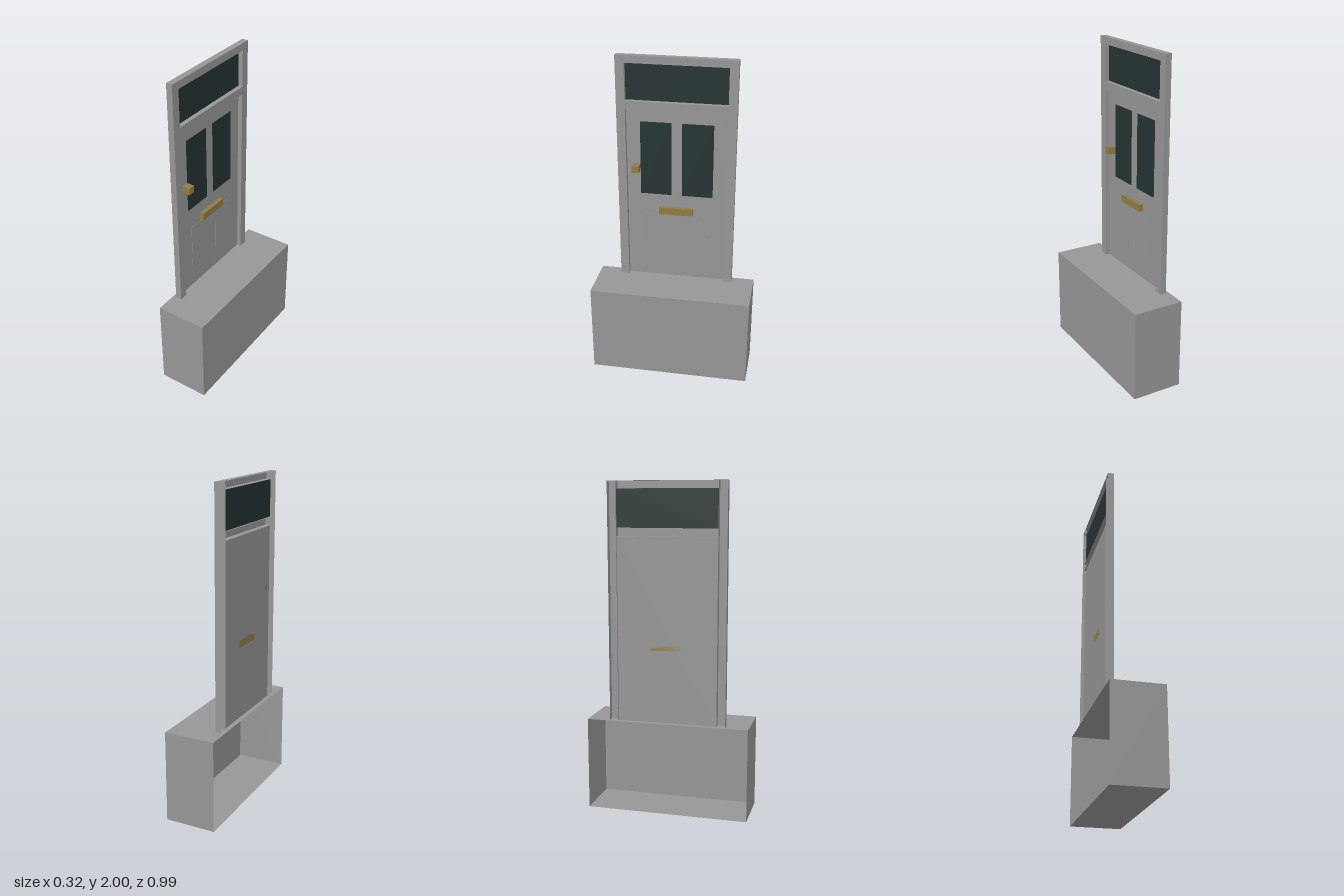
import * as THREE from 'three';

export function createModel() {
  const model = new THREE.Group();
  model.name = 'frontDoor';

  const stone = new THREE.MeshStandardMaterial({ color: 0x969696, side: THREE.DoubleSide });
  stone.name = 'grey';
  const glass = new THREE.MeshStandardMaterial({ color: 0x253232, side: THREE.DoubleSide });
  glass.name = 'darkGlass';
  const brass = new THREE.MeshStandardMaterial({ color: 0x907c45 });
  brass.name = 'brass';

  // Box given by its limits on each axis; openBack drops the -x face to leave a shell
  function box(name, material, [x0, x1], [y0, y1], [z0, z1], openBack = false) {
    const geometry = new THREE.BoxGeometry(x1 - x0, y1 - y0, z1 - z0);
    if (openBack) {
      const index = Array.from(geometry.index.array);
      index.splice(6, 6);
      geometry.setIndex(index);
      geometry.clearGroups();
    }
    const mesh = new THREE.Mesh(geometry, material);
    mesh.name = name;
    mesh.position.set((x0 + x1) / 2, (y0 + y1) / 2, (z0 + z1) / 2);
    model.add(mesh);
  }

  // Flat sheet facing +x
  function sheet(name, material, x, [y0, y1], [z0, z1]) {
    const geometry = new THREE.PlaneGeometry(z1 - z0, y1 - y0).rotateY(Math.PI / 2);
    const mesh = new THREE.Mesh(geometry, material);
    mesh.name = name;
    mesh.position.set(x, (y0 + y1) / 2, (z0 + z1) / 2);
    model.add(mesh);
  }

  const floor = 0.567;
  const frameX = [-0.138, -0.1];
  const doorX = -0.128;
  const half = 0.305;

  // Hollow step, open at the back
  box('step', stone, [-0.158, 0.158], [0, floor], [-0.496, 0.496], true);

  // Hollow frame: two posts, top rail and transom
  box('leftPost', stone, frameX, [floor, 2], [-0.358, -half], true);
  box('rightPost', stone, frameX, [floor, 2], [half, 0.358], true);
  box('topRail', stone, frameX, [1.955, 2], [-half, half], true);
  box('transom', stone, frameX, [1.68, 1.73], [-half, half], true);

  // Recessed door leaf and the window above it
  sheet('doorLeaf', stone, doorX, [floor, 1.68], [-half, half]);
  sheet('transomWindow', glass, doorX, [1.73, 1.955], [-half, half]);

  // Paired door windows and lower panels
  for (const side of [-1, 1]) {
    const span = (a, b) => (side > 0 ? [a, b] : [-b, -a]);
    box('doorWindow', glass, [doorX + 0.0005, doorX + 0.002], [1.135, 1.6], span(0.032, 0.222));
    box('lowerPanel', stone, [doorX + 0.0005, doorX + 0.003], [0.71, 1.0], span(0.055, 0.195));
  }

  // Brass fittings
  box('handle', brass, [doorX, -0.078], [1.286, 1.33], [0.224, 0.268]);
  box('letterBox', brass, [doorX, -0.102], [1.01, 1.055], [-0.103, 0.105]);

  return model;
}
